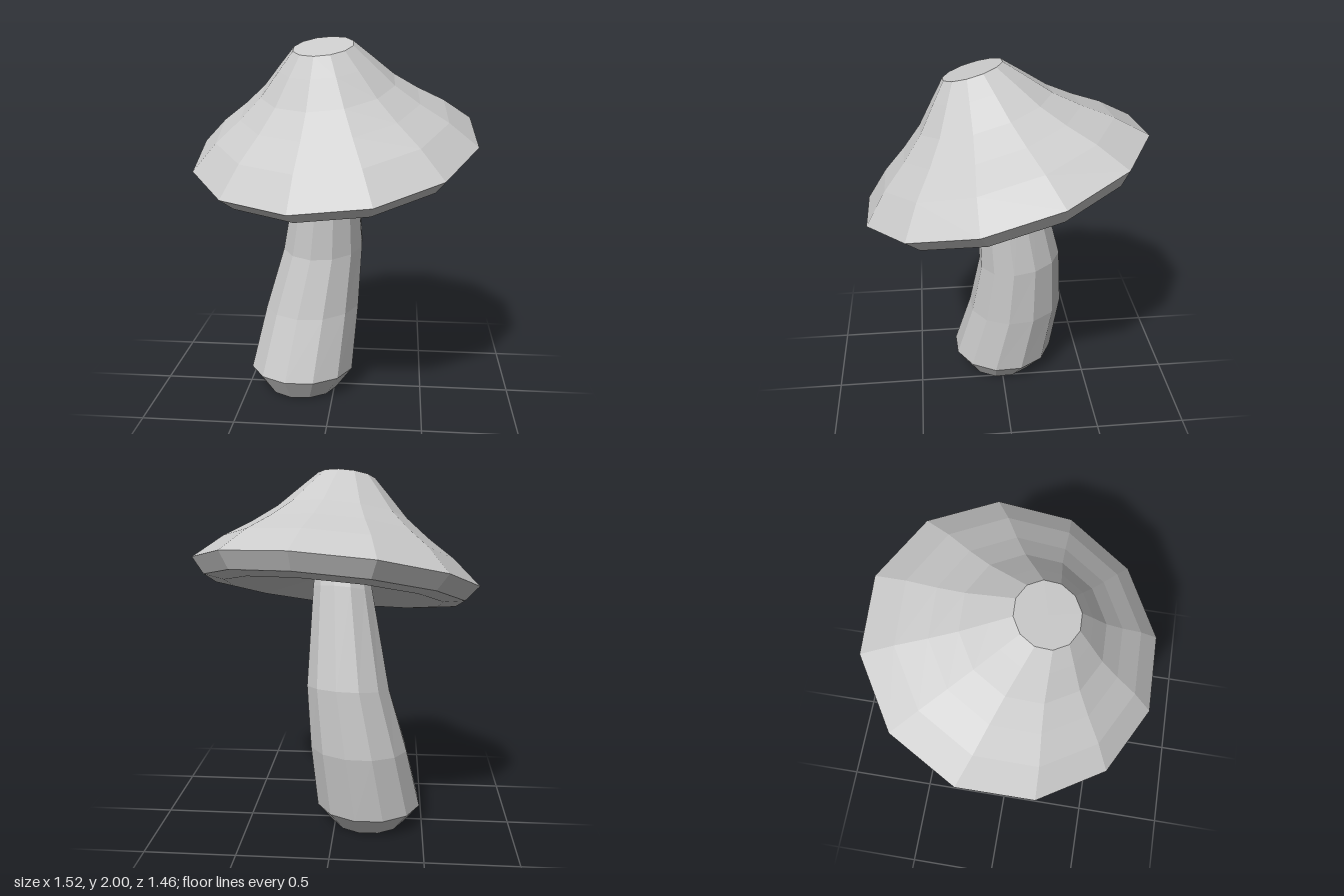
import * as THREE from 'three';

const SIDES = 12;
const TURN = THREE.MathUtils.degToRad(17.3);

// Stem cross-sections: centre x, y, z, radius, tilt in x, tilt in z
const STEM_RINGS = [
  [-0.19, 0, 0, 0.205, 0, 0],
  [-0.19, 0.125, -0.015, 0.3, 0, 0],
  [-0.135, 0.485, -0.085, 0.274, 0.03, -0.06],
  [-0.075, 0.835, -0.1, 0.231, 0.04, -0.15],
  [-0.04, 1.36, -0.025, 0.165, 0.08, -0.28],
  [-0.035, 1.47, 0, 0.15, 0.08, -0.28],
];

// Cap profile in its own frame: radius, height
const CAP_PROFILE = [
  [0, 0.02], [0.6, -0.096], [0.71, -0.081], [0.78, 0], [0.63, 0.135],
  [0.485, 0.235], [0.36, 0.335], [0.245, 0.458], [0.16, 0.547], [0, 0.547],
];

export function createModel() {
  const group = new THREE.Group();
  const material = new THREE.MeshStandardMaterial({ color: 0xcccccc, flatShading: true });

  // Bent stem: a unit cylinder whose rings follow the cross-sections
  const last = STEM_RINGS.length - 1;
  const stemGeometry = new THREE.CylinderGeometry(1, 1, last, SIDES, last, false, TURN);
  const p = stemGeometry.attributes.position;
  for (let i = 0; i < p.count; i++) {
    const [cx, cy, cz, r, tx, tz] = STEM_RINGS[Math.round(p.getY(i) + last / 2)];
    const dx = p.getX(i) * r;
    const dz = p.getZ(i) * r;
    p.setXYZ(i, cx + dx, cy + dx * tx + dz * tz, cz + dz);
  }
  stemGeometry.computeVertexNormals();
  const stem = new THREE.Mesh(stemGeometry, material);
  stem.name = 'stem';

  // Tilted cap with flat top, bevelled rim and hollow underside
  const profile = CAP_PROFILE.map(([r, h]) => new THREE.Vector2(r, h));
  const cap = new THREE.Mesh(new THREE.LatheGeometry(profile, SIDES, TURN), material);
  cap.name = 'cap';
  cap.position.y = 1.43;
  cap.quaternion.setFromUnitVectors(
    new THREE.Vector3(0, 1, 0),
    new THREE.Vector3(-0.088, 1, 0.284).normalize(),
  );

  group.add(stem, cap);
  return group;
}
